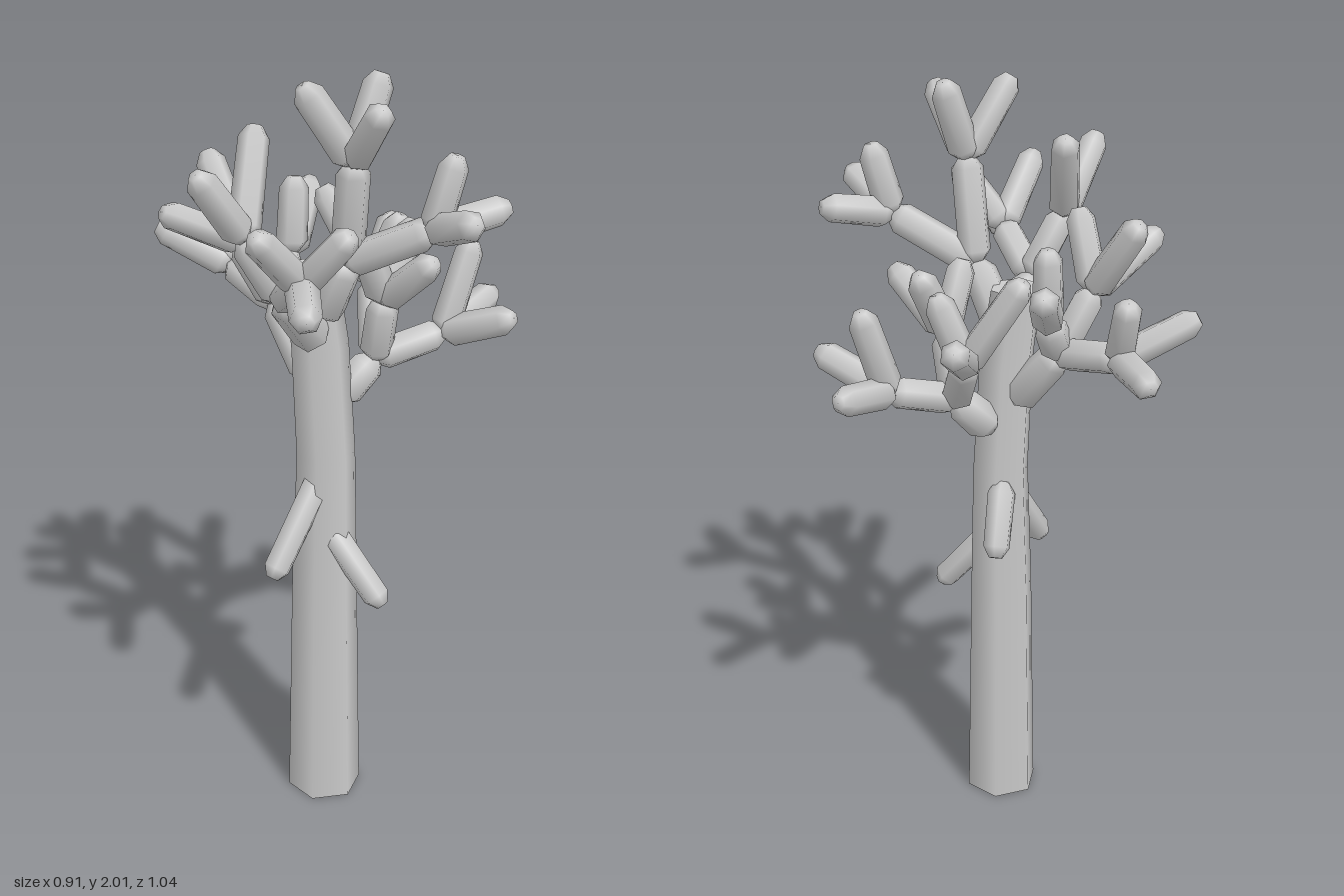
import * as THREE from 'three';

const material = new THREE.MeshStandardMaterial({ color: 0xcccccc });
const V = (a) => new THREE.Vector3(...a);

// Six-sided rod between two points with bevelled, closed ends
function rod(name, from, to, r0, r1) {
  const a = V(from), b = V(to);
  const len = a.distanceTo(b), bevel = Math.min(0.028, len * 0.3);
  const profile = [
    [0, 0], [r0 * 0.5, 0], [r0, bevel],
    [r1, len - bevel], [r1 * 0.5, len], [0, len],
  ].map(([x, y]) => new THREE.Vector2(x, y));
  const mesh = new THREE.Mesh(new THREE.LatheGeometry(profile, 6), material);
  mesh.name = name;
  mesh.position.copy(a);
  mesh.quaternion.setFromUnitVectors(new THREE.Vector3(0, 1, 0), b.sub(a).normalize());
  return mesh;
}

// Limb: root on the trunk, a node, then forks that each carry twig tips
const limbs = [
  { name: 'backLimb', root: [-0.07, 1.2, 0.0], node: [-0.07, 1.36, -0.14], forks: [
    { at: [-0.06, 1.4, -0.33], tips: [[0.06, 1.41, -0.51], [-0.19, 1.5, -0.47], [-0.01, 1.57, -0.39]] },
    { at: [-0.14, 1.52, -0.19], tips: [[-0.34, 1.63, -0.24], [-0.13, 1.72, -0.33], [-0.165, 1.71, -0.12]] },
    { at: [0.0, 1.47, -0.16], tips: [[0.16, 1.6, -0.27], [0.02, 1.66, -0.17]] },
  ] },
  { name: 'leftLimb', root: [-0.01, 1.13, 0.03], node: [0.08, 1.23, 0.07], forks: [
    { at: [0.24, 1.28, 0.15], tips: [[0.45, 1.33, 0.12], [0.295, 1.36, 0.34], [0.32, 1.51, 0.165]] },
    { at: [0.17, 1.38, -0.04], tips: [[0.34, 1.49, -0.15], [0.12, 1.61, -0.18], [0.22, 1.56, 0.01]] },
    { at: [0.07, 1.4, 0.11], tips: [[0.18, 1.58, 0.1], [0.085, 1.54, 0.27], [0.0, 1.57, 0.11]] },
  ] },
  { name: 'rightLimb', root: [-0.1, 1.32, 0.05], node: [-0.23, 1.47, 0.08], forks: [
    { at: [-0.31, 1.63, 0.035], tips: [[-0.44, 1.81, 0.03], [-0.2, 1.86, -0.05]] },
    { at: [-0.29, 1.56, 0.22], tips: [[-0.43, 1.56, 0.4], [-0.445, 1.72, 0.24], [-0.255, 1.71, 0.35]] },
  ] },
  { name: 'frontLimb', root: [-0.08, 1.38, 0.05], node: [-0.07, 1.54, 0.13], forks: [
    { at: [-0.09, 1.8, 0.175], tips: [[-0.2, 1.99, 0.12], [-0.125, 1.96, 0.31], [-0.01, 2, 0.18]] },
    { at: [0.02, 1.65, 0.33], tips: [[-0.02, 1.72, 0.51], [0.19, 1.69, 0.41], [0.06, 1.83, 0.36]] },
  ] },
];

// Trunk: hexagonal rings along a slightly wandering centre line, capped
function makeTrunk() {
  const rings = [
    [-0.08, 0.005, 0.053, 0.098], [-0.07, 0.65, 0.045, 0.086],
    [-0.06, 1.0, 0.04, 0.076], [-0.07, 1.3, 0.03, 0.073], [-0.085, 1.5, 0.01, 0.068],
  ];
  const geo = new THREE.CylinderGeometry(1, 1, 1, 6, rings.length - 1);
  const p = geo.attributes.position;
  for (let i = 0; i < p.count; i++) {
    const k = Math.round((p.getY(i) + 0.5) * (rings.length - 1));
    const [x, y, z, r] = rings[k];
    p.setXYZ(i, x + p.getX(i) * r, y, z + p.getZ(i) * r);
  }
  geo.translate(0, -0.005, 0);
  const mesh = new THREE.Mesh(geo, material);
  mesh.name = 'trunk';
  return mesh;
}

export function createModel() {
  const tree = new THREE.Group();
  tree.name = 'bareTree';
  tree.add(makeTrunk());

  for (const { name, root, node, forks } of limbs) {
    const limb = new THREE.Group();
    limb.name = name;
    limb.add(rod('limbBase', root, node, 0.05, 0.045));
    for (const { at, tips } of forks) {
      limb.add(rod('branch', node, at, 0.043, 0.042));
      for (const tip of tips) limb.add(rod('twig', at, tip, 0.041, 0.038));
    }
    tree.add(limb);
  }

  // Short drooping stubs low on the trunk
  const stubs = [
    [[-0.02, 0.98, 0.0], [0.07, 0.81, -0.05]],
    [[-0.08, 0.95, 0.05], [-0.26, 0.71, 0.06]],
    [[-0.08, 0.8, 0.07], [-0.025, 0.61, 0.22]],
  ];
  for (const [from, to] of stubs) tree.add(rod('stub', from, to, 0.038, 0.036));
  return tree;
}
